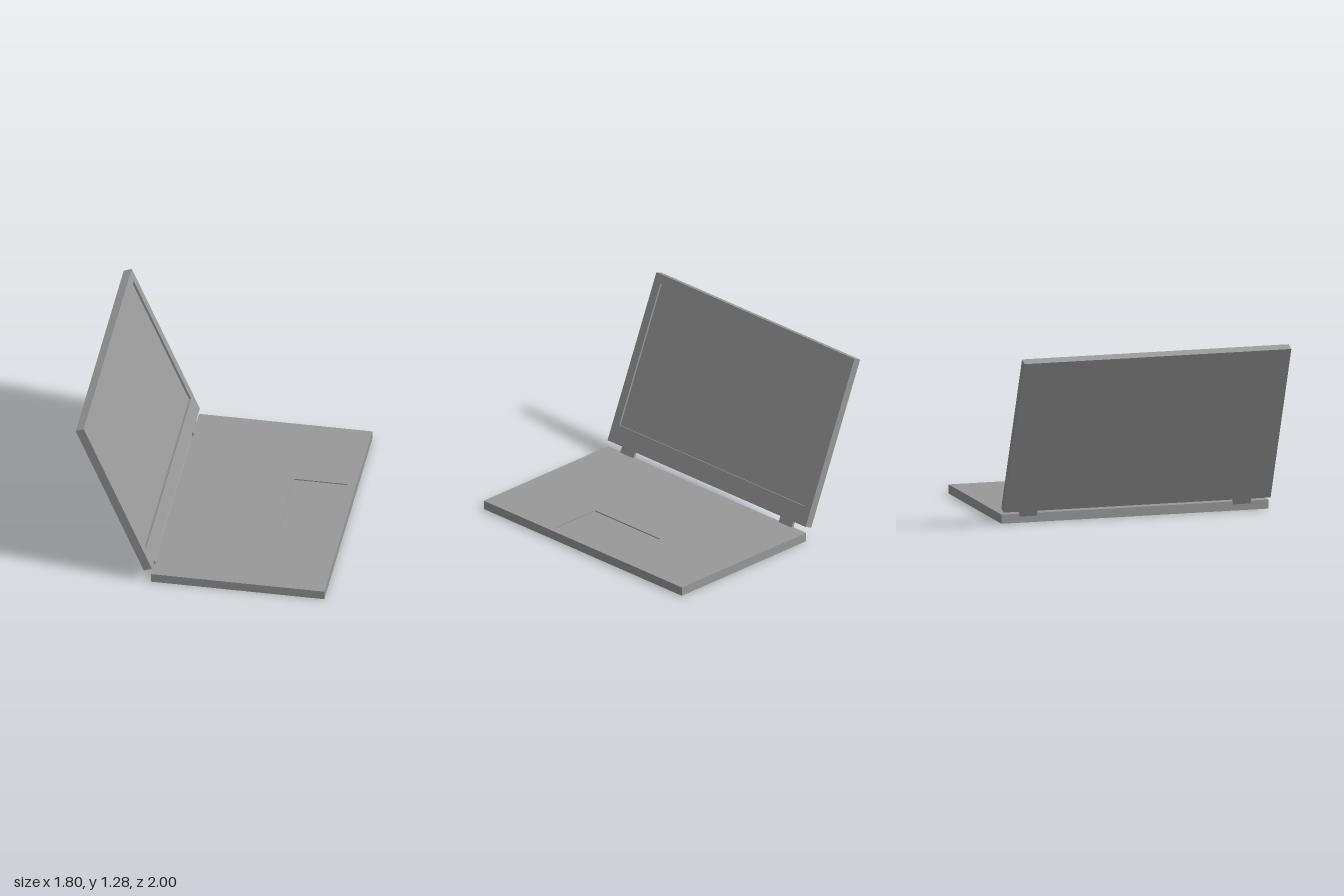
import * as THREE from 'three';
import { mergeGeometries } from 'three/addons/utils/BufferGeometryUtils.js';

// Box without its +z face; inverted turns the sides inward
function openBox(w, h, d, inverted) {
  const geo = new THREE.BoxGeometry(w, h, d);
  const index = Array.from(geo.index.array);
  index.splice(24, 6);
  geo.setIndex(inverted ? index.reverse() : index);
  geo.clearGroups();
  return geo;
}

function rectangle(PathType, cx, cy, w, h) {
  const points = [[-1, -1], [1, -1], [1, 1], [-1, 1]];
  return new PathType(points.map(([x, y]) => new THREE.Vector2(cx + x * w / 2, cy + y * h / 2)));
}

// Slab facing +z with a shallow rectangular recess r = { x, y, w, h, depth }
function recessedSlab(w, h, d, r) {
  const face = rectangle(THREE.Shape, 0, 0, w, h);
  face.holes.push(rectangle(THREE.Path, r.x, r.y, r.w, r.h));
  const geo = mergeGeometries([
    openBox(w, h, d, false),
    new THREE.ShapeGeometry(face).translate(0, 0, d / 2),
    openBox(r.w, r.h, r.depth, true).translate(r.x, r.y, d / 2 - r.depth / 2),
  ]).toNonIndexed();
  geo.computeVertexNormals();
  return geo;
}

export function createModel() {
  const model = new THREE.Group();
  model.name = 'laptop';
  const grey = new THREE.MeshStandardMaterial({ color: 0x999999 });
  grey.name = 'grey';

  function add(parent, name, geometry) {
    const mesh = new THREE.Mesh(geometry, grey);
    mesh.name = name;
    parent.add(mesh);
    return mesh;
  }

  // Base with sunken touchpad
  const base = recessedSlab(1.257, 2, 0.066, { x: 0.3725, y: 0, w: 0.39, h: 0.66, depth: 0.008 });
  base.rotateX(-Math.PI / 2);
  add(model, 'base', base).position.set(0.2725, 0.033, 0);

  // Lid leaning back, pivoting on its lower inner edge
  const lid = new THREE.Group();
  lid.name = 'lid';
  lid.position.set(-0.35, 0.115, 0);
  lid.rotation.z = THREE.MathUtils.degToRad(23);
  model.add(lid);

  // Screen panel with recessed display
  const screen = recessedSlab(2, 1.266, 0.063, { x: 0, y: 0.035, w: 1.87, h: 1.065, depth: 0.016 });
  screen.rotateY(Math.PI / 2);
  add(lid, 'screenPanel', screen).position.set(-0.0315, 0.633, 0);

  // Two hinge tabs joining lid and base
  for (const side of [-1, 1]) {
    const hinge = add(lid, side > 0 ? 'leftHinge' : 'rightHinge', new THREE.BoxGeometry(0.02, 0.075, 0.13));
    hinge.position.set(-0.023, -0.0275, side * 0.8);
  }

  return model;
}
